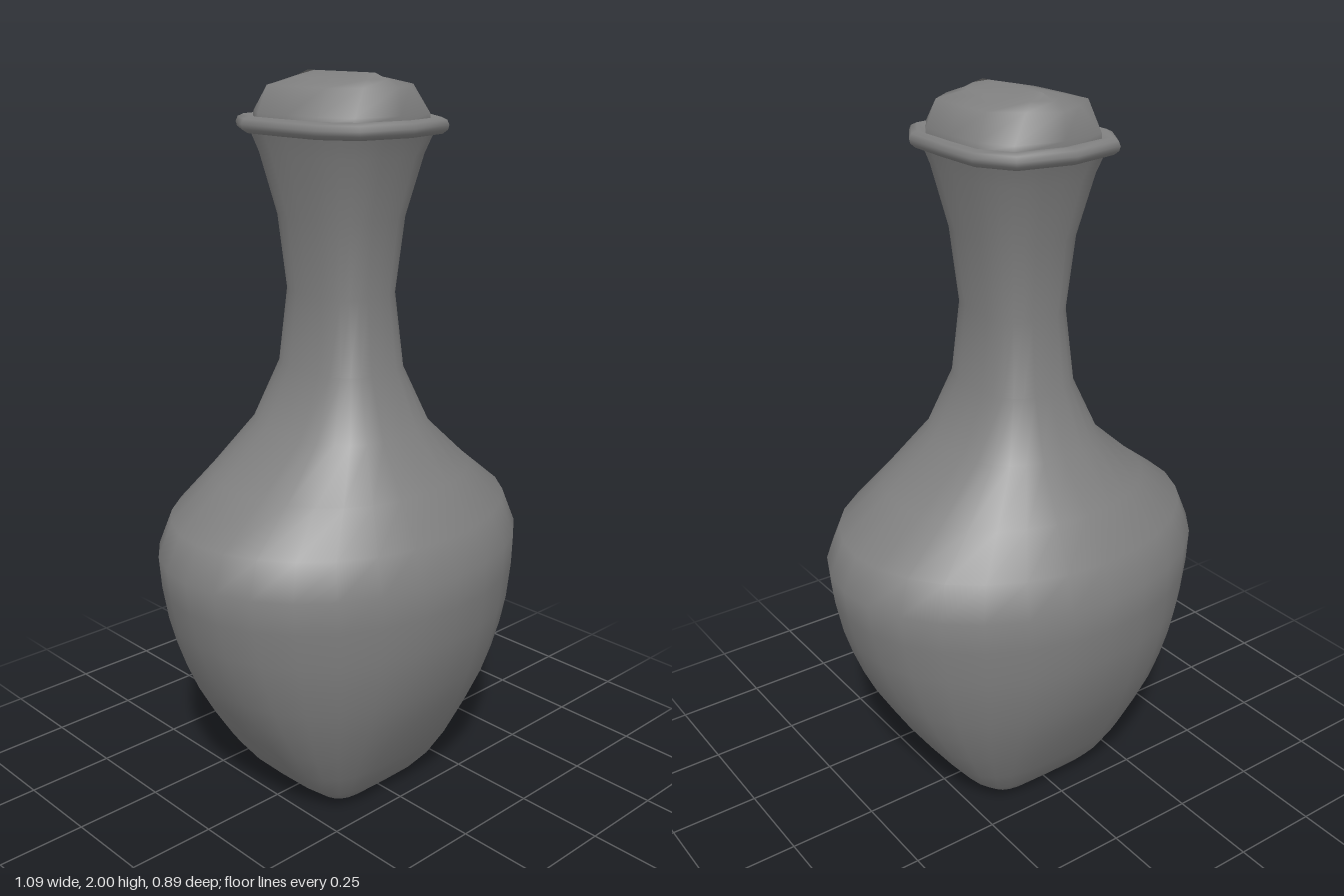
import * as THREE from 'three';
import { mergeVertices } from 'three/addons/utils/BufferGeometryUtils.js';

const material = new THREE.MeshStandardMaterial({ color: 0x808080, side: THREE.DoubleSide });

// Unit outline between an ellipse (p = 2) and a rounded rectangle (large p)
function superEllipse(p, sides = 28) {
  const bend = (v) => (Math.abs(v) < 1e-9 ? 0 : Math.sign(v) * Math.abs(v) ** (2 / p));
  return Array.from({ length: sides }, (_, i) => {
    const t = (i / sides) * Math.PI * 2;
    return [bend(Math.cos(t)), bend(Math.sin(t))];
  });
}

// Unit twelve-sided outline of the mouth and stopper; corner sets how full it is
function mouthOutline(corner = [0.71, 0.885]) {
  const q = [[1, 0], [0.985, 0.52], corner];
  const half = [...q, [0, 1], ...q.slice(1).reverse().map(([x, z]) => [-x, z])];
  return [...half, ...half.map(([x, z]) => [-x, -z])];
}

// Skin over stacked rings [y, halfWidth, halfDepth, shape]
function loft(name, rings, outline) {
  const positions = [], index = [];
  let n = 0;
  rings.forEach(([y, a, b, shape]) => {
    const points = outline(shape);
    n = points.length;
    points.forEach(([x, z]) => positions.push(x * a, y, z * b));
  });
  for (let j = 0; j < rings.length - 1; j++) {
    for (let i = 0; i < n; i++) {
      const k = (i + 1) % n;
      const a = j * n + i, c = j * n + k;
      index.push(a, a + n, c, c, a + n, c + n);
    }
  }
  let geometry = new THREE.BufferGeometry();
  geometry.setAttribute('position', new THREE.Float32BufferAttribute(positions, 3));
  geometry.setIndex(index);
  geometry = mergeVertices(geometry, 1e-4);
  geometry.computeVertexNormals();
  const mesh = new THREE.Mesh(geometry, material);
  mesh.name = name;
  return mesh;
}

export function createModel() {
  const group = new THREE.Group();
  group.name = 'decanter';

  // Squarish foot swelling into an oval belly, then a flared neck
  group.add(loft('bottle', [
    [0, 0, 0, 6],
    [0, 0.12, 0.127, 6],
    [0.02, 0.18, 0.18, 5.5],
    [0.06, 0.23, 0.215, 4.3],
    [0.14, 0.295, 0.265, 3.4],
    [0.23, 0.357, 0.312, 2.85],
    [0.32, 0.412, 0.358, 2.5],
    [0.4, 0.452, 0.39, 2.3],
    [0.48, 0.485, 0.416, 2.17],
    [0.56, 0.512, 0.434, 2.08],
    [0.66, 0.535, 0.446, 2],
    [0.75, 0.545, 0.447, 1.98],
    [0.845, 0.505, 0.41, 2],
    [0.95, 0.365, 0.33, 2.15],
    [1.08, 0.215, 0.235, 2.5],
    [1.24, 0.138, 0.17, 2.7],
    [1.44, 0.118, 0.146, 2.7],
    [1.64, 0.14, 0.168, 2.7],
    [1.8, 0.175, 0.212, 2.85],
    [1.86, 0.192, 0.237, 3],
  ], superEllipse));

  // Rolled lip around the mouth
  group.add(loft('lip', [
    [1.852, 0.175, 0.22],
    [1.85, 0.205, 0.25],
    [1.86, 0.216, 0.262],
    [1.872, 0.219, 0.265],
    [1.885, 0.214, 0.26],
    [1.892, 0.2, 0.246],
    [1.885, 0.18, 0.21],
  ], mouthOutline));

  // Stopper with clipped upper corners, rising to a short ridge along z
  group.add(loft('stopper', [
    [1.88, 0.186, 0.217],
    [1.9, 0.184, 0.216],
    [1.968, 0.155, 0.21, [0.52, 0.8]],
    [1.985, 0.078, 0.168, [0.52, 0.8]],
    [2, 0, 0.125, [0.52, 0.8]],
  ], mouthOutline));

  return group;
}
